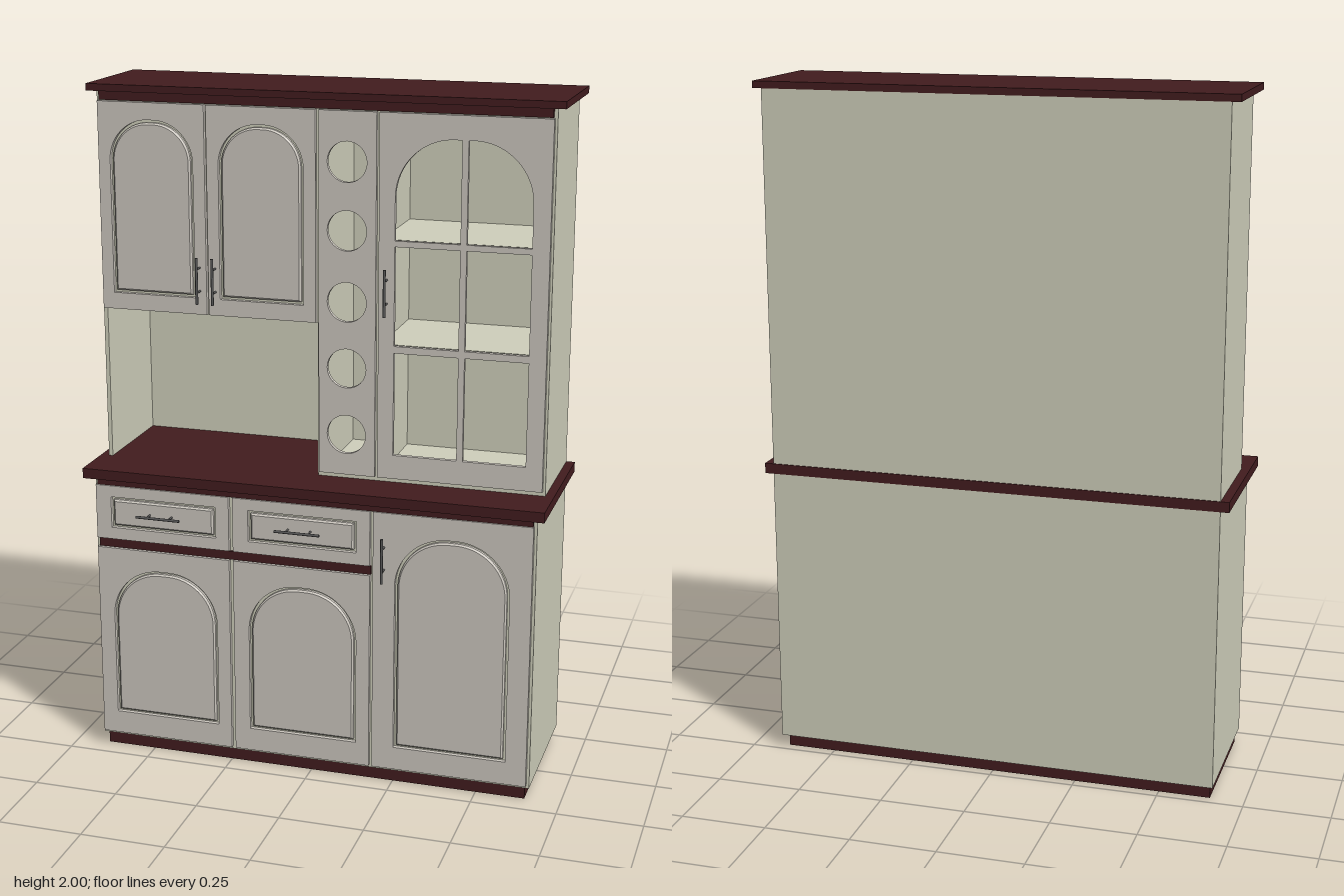
import * as THREE from 'three';

const mat = (color) => new THREE.MeshStandardMaterial({ color, roughness: 0.8 });

export function createModel() {
  const root = new THREE.Group();
  root.name = 'dresser';
  const body = mat(0xcfcfbb), front = mat(0xcbc6be), wood = mat(0x421c1e), metal = mat(0x555555);

  const add = (name, geometry, material, parent = root) => {
    const mesh = new THREE.Mesh(geometry, material);
    mesh.name = name;
    parent.add(mesh);
    return mesh;
  };
  // Box given by its two opposite corners
  const box = (name, x0, x1, y0, y1, z0, z1, material, parent) => {
    const g = new THREE.BoxGeometry(x1 - x0, y1 - y0, z1 - z0);
    g.translate((x0 + x1) / 2, (y0 + y1) / 2, (z0 + z1) / 2);
    return add(name, g, material, parent);
  };
  // Rectangle whose two top corners may be rounded separately
  const outline = (x0, x1, y0, y1, rl = 0, rr = rl, Type = THREE.Shape) => {
    const s = new Type();
    s.moveTo(x0, y0);
    s.lineTo(x1, y0);
    s.lineTo(x1, y1 - rr);
    if (rr) s.absarc(x1 - rr, y1 - rr, rr, 0, Math.PI / 2, false);
    s.lineTo(x0 + rl, y1);
    if (rl) s.absarc(x0 + rl, y1 - rl, rl, Math.PI / 2, Math.PI, false);
    s.lineTo(x0, y0);
    return s;
  };
  const extrude = (shape, z, depth, bevel = 0) => {
    const g = new THREE.ExtrudeGeometry(shape, {
      depth: depth - bevel, curveSegments: 16, bevelEnabled: bevel > 0,
      bevelSize: bevel, bevelOffset: -bevel, bevelThickness: bevel, bevelSegments: 1,
    });
    g.translate(0, 0, z);
    return g;
  };
  // Door or drawer front: slab with a groove around a bevelled inner panel
  const panelFront = (name, [x0, x1, y0, y1], [a0, a1, b0, b1], r, z) => {
    const group = new THREE.Group();
    group.name = name;
    root.add(group);
    const slab = outline(x0, x1, y0, y1);
    slab.holes.push(outline(a0, a1, b0, b1, r, r, THREE.Path));
    add('frame', extrude(slab, z, 0.013), front, group);
    const g = 0.008;
    add('raisedPanel', extrude(outline(a0 + g, a1 - g, b0 + g, b1 - g, r && r - g), z, 0.014, 0.005), front, group);
    return group;
  };
  // Bar handle on two posts
  const handle = (x, y, z, horizontal) => {
    const group = new THREE.Group();
    group.name = 'handle';
    const bar = new THREE.CylinderGeometry(0.004, 0.004, 0.135, 10);
    bar.translate(0, 0, 0.027);
    add('bar', bar, metal, group);
    for (const s of [-1, 1]) {
      const post = new THREE.CylinderGeometry(0.003, 0.003, 0.028, 8);
      post.rotateX(Math.PI / 2);
      post.translate(0, s * 0.034, 0.013);
      add('post', post, metal, group);
    }
    if (horizontal) group.rotation.z = Math.PI / 2;
    group.position.set(x, y, z);
    root.add(group);
  };

  // Base cabinet
  const zl = 0.197, zu = 0.092;
  box('plinth', -0.65, 0.645, 0, 0.04, -0.22, 0.185, wood);
  box('baseCabinet', -0.66, 0.66, 0.04, 0.867, -0.24, zl, body);
  box('counterTrim', -0.65, 0.65, 0.843, 0.866, 0.15, 0.208, wood);
  box('drawerRail', -0.65, 0.185, 0.65, 0.675, 0.15, 0.205, wood);
  box('counter', -0.685, 0.685, 0.866, 0.896, -0.243, 0.232, wood);
  for (const x of [-0.655, -0.23]) {
    panelFront('lowerDoor', [x, x + 0.413, 0.05, 0.648], [x + 0.047, x + 0.373, 0.12, 0.587], 0.15, zl);
    panelFront('drawer', [x, x + 0.413, 0.677, 0.842], [x + 0.047, x + 0.373, 0.713, 0.808], 0, zl);
    handle(x + 0.203, 0.763, 0.21, true);
  }
  panelFront('tallLowerDoor', [0.192, 0.652, 0.05, 0.842], [0.257, 0.59, 0.12, 0.778], 0.155, zl);
  handle(0.225, 0.705, 0.21);

  // Upper cabinet shell, with an open niche on the model's right
  for (const s of [-1, 1]) {
    const a = s * 0.66, b = s * 0.648;
    box('upperSide', Math.min(a, b), Math.max(a, b), 0.895, 1.98, -0.24, zu, body);
  }
  box('upperBack', -0.65, 0.65, 0.895, 1.98, -0.24, -0.23, body);
  box('upperTop', -0.65, 0.65, 1.95, 1.98, -0.235, zu, body);
  box('upperFloor', 0, 0.65, 0.895, 0.91, -0.235, zu, body);
  box('nicheDivider', -0.006, 0.006, 0.895, 1.96, -0.235, zu, body);
  box('glassDivider', 0.164, 0.176, 0.895, 1.96, -0.235, zu, body);
  box('wallCupboard', -0.65, -0.005, 1.35, 1.96, -0.235, zu, body);
  for (const y of [1.29, 1.59]) box('shelf', 0.17, 0.65, y - 0.008, y + 0.008, -0.235, 0.08, body);
  box('corniceTrim', -0.65, 0.65, 1.955, 1.981, 0.05, 0.104, wood);
  box('cornice', -0.685, 0.685, 1.98, 2, -0.243, 0.112, wood);

  // Arched upper doors
  for (const x of [-0.655, -0.329])
    panelFront('upperDoor', [x, x + 0.32, 1.352, 1.952], [x + 0.035, x + 0.285, 1.4, 1.903], 0.117, zu);
  handle(-0.355, 1.455, 0.105);
  handle(-0.308, 1.455, 0.105);

  // Bottle panel with five round openings
  const bottle = outline(0, 0.166, 0.91, 1.952);
  for (const y of [1.03, 1.225, 1.417, 1.62, 1.812]) {
    const hole = new THREE.Path();
    hole.absarc(0.082, y, 0.057, 0, Math.PI * 2, true);
    bottle.holes.push(hole);
  }
  add('bottlePanel', extrude(bottle, zu, 0.013), front);

  // Display door with six open panes under an arch
  const door = outline(0.174, 0.653, 0.91, 1.952);
  const rows = [[0.98, 1.28], [1.3, 1.583], [1.6, 1.885]];
  rows.forEach(([y0, y1], i) => {
    const r = i === 2 ? 0.165 : 0;
    door.holes.push(outline(0.22, 0.405, y0, y1, r, 0, THREE.Path));
    door.holes.push(outline(0.423, 0.604, y0, y1, 0, r, THREE.Path));
  });
  add('displayDoor', extrude(door, zu, 0.013), front);
  handle(0.198, 1.455, 0.105);

  return root;
}
